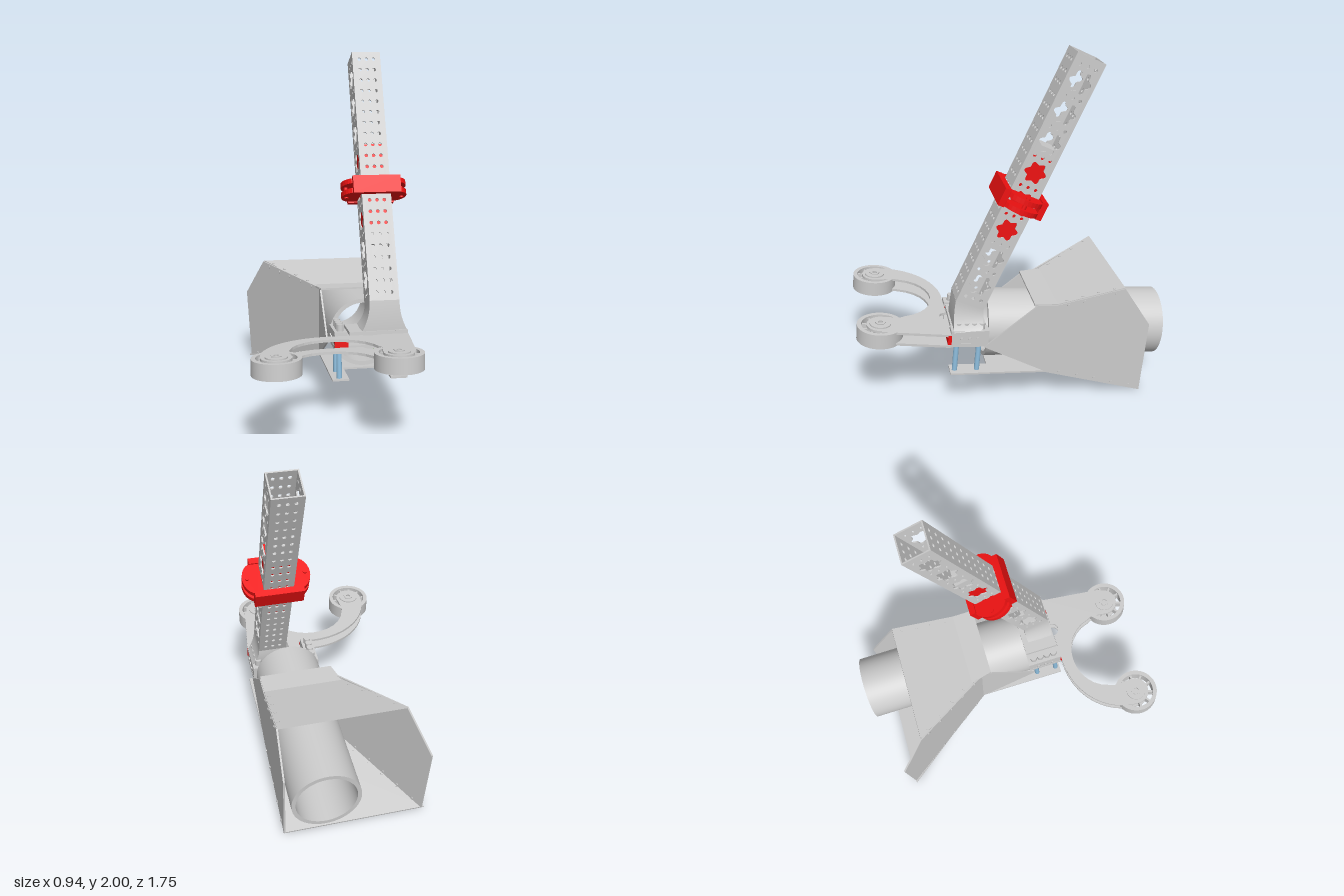
import * as THREE from 'three';
import { ConvexGeometry } from 'three/addons/geometries/ConvexGeometry.js';

const mat = (color) => new THREE.MeshStandardMaterial({ color, side: THREE.DoubleSide });
const grey = mat(0xcccccc), red = mat(0xee1111), blue = mat(0x8fbfdf), green = mat(0x4c9a2a);
const DECK = -0.094, LEAN = -0.447;

function add(parent, name, geo, material = grey, x = 0, y = 0, z = 0) {
  const m = new THREE.Mesh(geo, material);
  m.name = name;
  m.position.set(x, y, z);
  parent.add(m);
  return m;
}
function group(parent, name, x = 0, y = 0, z = 0, tilt = 0) {
  const g = new THREE.Group();
  g.name = name;
  g.position.set(x, y, z);
  g.rotation.x = tilt;
  parent.add(g);
  return g;
}
const box = (w, h, d) => new THREE.BoxGeometry(w, h, d);
const cyl = (r, h, n = 24) => new THREE.CylinderGeometry(r, r, h, n);
// Open pipe with a wall, along y
const ring = (ri, ro, h, n = 48) => new THREE.LatheGeometry(
  [[ri, -h / 2], [ro, -h / 2], [ro, -h / 2], [ro, h / 2], [ro, h / 2], [ri, h / 2], [ri, h / 2], [ri, -h / 2]]
    .map(([x, y]) => new THREE.Vector2(x, y)), n);
const extrude = (shape, depth) => new THREE.ExtrudeGeometry(shape, { depth, bevelEnabled: false, curveSegments: 12 });
// Plan shape (x, z) extruded in y, centred on y = 0
const slab = (shape, h) => extrude(shape, h).rotateX(Math.PI / 2).translate(0, h / 2, 0);

// Flat sheet through convex corner points, with rivets along the listed edges
function panel(parent, name, corners, riveted = [], t = 0.01) {
  const p = corners.map((c) => new THREE.Vector3(...c));
  const n = p[1].clone().sub(p[0]).cross(p[2].clone().sub(p[0])).normalize();
  const off = n.clone().multiplyScalar(t / 2);
  add(parent, name, new ConvexGeometry(p.flatMap((v) => [v.clone().add(off), v.clone().sub(off)])));
  const mid = p.reduce((a, v) => a.add(v), new THREE.Vector3()).divideScalar(p.length);
  for (const i of riveted) {
    const a = p[i], b = p[(i + 1) % p.length];
    const count = Math.max(2, Math.round(a.distanceTo(b) / 0.11));
    for (let k = 0; k < count; k++) {
      const q = a.clone().lerp(b, (k + 0.5) / count);
      q.add(mid.clone().sub(q).setLength(0.02));
      const r = add(parent, 'rivet', cyl(0.009, t + 0.008, 10), grey, q.x, q.y, q.z);
      r.quaternion.setFromUnitVectors(new THREE.Vector3(0, 1, 0), n);
    }
  }
}

function hole(shape, x, y, r, lobes = 0) {
  const n = lobes ? 48 : 8, pts = [];
  for (let i = 0; i < n; i++) {
    const a = -i / n * Math.PI * 2, rr = r + (lobes ? 0.009 * Math.cos(lobes * a) : 0);
    pts.push(new THREE.Vector2(x + rr * Math.cos(a), y + rr * Math.sin(a)));
  }
  shape.holes.push(new THREE.Path(pts));
}
function rect(w, h) {
  return new THREE.Shape([[-w, 0], [w, 0], [w, h], [-w, h]].map(([x, y]) => new THREE.Vector2(x, y)));
}

function buildTower(root) {
  const g = group(root, 'tower', 0.282, 0.635, 0.255, LEAN);
  const L = 1.473, W = 0.083, T = 0.008, C = 0.655;
  // Front and back walls: three columns of small holes
  const face = rect(W, L);
  for (let i = 0; i < 22; i++) for (const x of [-0.042, 0, 0.042]) hole(face, x, 0.046 + i * 0.0657, 0.011);
  add(g, 'towerFront', extrude(face, T), grey, 0, 0, W - T);
  add(g, 'towerBack', extrude(face, T), grey, 0, 0, -W);
  // Side walls: lobed openings with bolt holes between them
  const side = rect(W, L);
  for (let i = 0; i < 8; i++) hole(side, 0, 0.134 + i * 0.172, 0.054, 6);
  for (let i = 0; i <= 8; i++) for (const x of [-0.045, 0, 0.045]) hole(side, x, 0.048 + i * 0.172, 0.01);
  for (const x of [W - T, -W]) add(g, 'towerSide', extrude(side, T).rotateY(Math.PI / 2), grey, x);
  // Inner slider
  add(g, 'slider', box(0.145, 0.5, 0.145), red, 0, C, 0);
  for (const s of [-1, 1]) add(g, 'sliderCap', box(0.12, 0.06, 0.12), grey, 0, C + s * 0.28, 0);

  // Clamp: two rounded flanges joined by front and back walls
  const c = group(g, 'clamp', 0, C, 0);
  const f = new THREE.Shape();
  f.moveTo(-0.12, -0.1);
  f.lineTo(0.12, -0.1);
  f.bezierCurveTo(0.21, -0.08, 0.21, 0.08, 0.12, 0.1);
  f.lineTo(-0.12, 0.1);
  f.bezierCurveTo(-0.21, 0.08, -0.21, -0.08, -0.12, -0.1);
  f.holes.push(new THREE.Path([[-W, -W], [-W, W], [W, W], [W, -W]].map(([x, y]) => new THREE.Vector2(x, y))));
  for (const s of [-1, 1]) {
    add(c, 'clampFlange', slab(f, 0.028), red, 0, s * 0.028, 0);
    add(c, 'clampWall', box(0.27, 0.1, 0.036), red, 0, 0, s * 0.108);
    add(c, 'clampPin', cyl(0.012, 0.1, 12), red, s * 0.16, 0, 0);
  }
}

// Flared neck between deck and tower: a box morphed along its height
function buildNeck(root) {
  const geo = new THREE.BoxGeometry(1, 1, 1, 1, 10, 1), p = geo.attributes.position;
  for (let i = 0; i < p.count; i++) {
    const t = p.getY(i) + 0.5, k = (1 - t) ** 2.2, a = LEAN * t;
    const dz = p.getZ(i) * 2 * (0.083 - 0.005 * k);
    p.setXYZ(i, 0.282 + p.getX(i) * 2 * (0.083 + 0.045 * k),
      0.5 + 0.137 * t - Math.sin(a) * dz, 0.27 - 0.015 * t + Math.cos(a) * dz);
  }
  geo.computeVertexNormals();
  add(root, 'towerNeck', geo);
}

function buildDeck(root) {
  const g = group(root, 'deck', 0, 0.413, 0, DECK);
  // Mount tray under the tower
  add(g, 'trayFloor', box(0.41, 0.02, 0.21), grey, 0.205, -0.023, 0.265);
  add(g, 'trayTop', box(0.30, 0.02, 0.2), grey, 0.235, 0.05, 0.265);
  for (const x of [0.037, 0.373]) {
    add(g, 'trayRail', box(0.07, 0.09, 0.21), grey, x, 0.018, 0.265);
    for (let i = 0; i < 4; i++) {
      add(g, 'trayBolt', cyl(0.02, 0.04, 16), grey, x, 0.08, 0.2 + i * 0.043);
      if (i < 3) {
        const b = add(g, 'sideBolt', cyl(0.01, 0.01, 12), grey, x < 0.2 ? 0 : 0.41, 0.015, 0.22 + i * 0.045);
        b.rotation.z = Math.PI / 2;
      }
    }
    for (const z of [0.225, 0.35]) add(g, 'post', cyl(0.015, 0.2, 16), blue, x - 0.007, -0.115, z - 0.02);
    add(g, 'stopBlock', box(0.075, 0.055, 0.02), red, x, 0.01, 0.375);
  }
  // Forked arm, two matching plates
  const s = new THREE.Shape();
  s.moveTo(0, 0.37);
  s.lineTo(0.157, 0.37);
  s.absarc(0.197, 0.37, 0.04, Math.PI, 0, true);
  s.lineTo(0.41, 0.37);
  s.lineTo(0.365, 0.74);
  s.absarc(0.275, 0.74, 0.08, 0, Math.PI, false);
  s.bezierCurveTo(0.205, 0.66, 0.215, 0.63, 0.195, 0.61);
  s.bezierCurveTo(0.14, 0.38, -0.21, 0.38, -0.265, 0.61);
  s.bezierCurveTo(-0.28, 0.64, -0.27, 0.68, -0.265, 0.74);
  s.absarc(-0.345, 0.74, 0.08, 0, Math.PI, false);
  s.bezierCurveTo(-0.43, 0.55, -0.26, 0.36, 0, 0.37);
  for (const y of [0.036, -0.03]) add(g, 'armPlate', slab(s, 0.014), grey, 0, y, 0);
  // Spoked wheels at the arm tips
  for (const x of [-0.345, 0.275]) {
    const w = group(g, 'wheel', x, 0, 0.745);
    add(w, 'wheelRim', ring(0.104, 0.128, 0.085), grey);
    add(w, 'wheelHub', ring(0.026, 0.058, 0.1), grey);
    add(w, 'wheelAxle', ring(0.015, 0.03, 0.11, 6), grey);
    for (let i = 0; i < 10; i++) {
      const a = i / 10 * Math.PI * 2;
      const k = add(w, 'wheelSpoke', box(0.055, 0.06, 0.012), grey, 0.08 * Math.cos(a), 0, -0.08 * Math.sin(a));
      k.rotation.y = a;
    }
  }
}

function buildFunnel(root) {
  const g = group(root, 'funnel');
  const R = 0.408, L = -0.012;
  // Right-hand flat side, outline in (z, y)
  const outline = [[0.185, 0.395], [-0.12, 0.624], [-0.23, 0.614], [-0.614, 0.677], [-0.767, 0.434], [-0.73, 0.005], [-0.175, 0.19]];
  // The outline dips slightly at its third corner, so split it there
  const at = (x, list) => list.map((i) => [x, outline[i][1], outline[i][0]]);
  panel(g, 'sideFront', at(R, [0, 1, 2, 6]));
  panel(g, 'sideRear', at(R, [2, 3, 4, 5, 6]), [0, 3]);
  // Opposite side: short flat front, then a splayed rear wall
  panel(g, 'innerSideFront', [[L, 0.395, 0.185], [L, 0.624, -0.12], [L, 0.62, -0.16], [L, 0.19, -0.175]]);
  panel(g, 'splayedSide', [[L, 0.618, -0.16], [-0.315, 0.677, -0.614], [-0.418, 0.434, -0.767], [-0.395, 0.005, -0.733], [L, 0.19, -0.16]], [0, 3]);
  // Roof and floor
  panel(g, 'roofFront', [[L, 0.624, -0.1], [R, 0.624, -0.1], [R, 0.614, -0.23], [-0.045, 0.614, -0.23]]);
  panel(g, 'roofRear', [[-0.055, 0.614, -0.23], [R, 0.614, -0.23], [R, 0.677, -0.614], [-0.31, 0.677, -0.614]], [1, 3]);
  panel(g, 'floorRear', [[L, 0.19, -0.17], [R, 0.19, -0.175], [R, 0.005, -0.73], [-0.41, 0.005, -0.73]], [1, 3]);
  panel(g, 'floorFront', [[L, 0.222, 0.16], [R, 0.222, 0.16], [R, 0.193, -0.175], [L, 0.193, -0.175]]);
  for (const x of [0.035, 0.362]) {
    panel(g, 'floorTab', [[x - 0.047, 0.24, 0.375], [x + 0.047, 0.24, 0.375], [x + 0.047, 0.222, 0.16], [x - 0.047, 0.222, 0.16]]);
  }
}

function buildDuct(root) {
  const g = group(root, 'duct', 0.197, 0.389, -0.35, DECK);
  add(g, 'ductPipe', ring(0.17, 0.193, 1.022, 64).rotateX(Math.PI / 2));
  // Rollers inside the mouth
  for (const x of [-0.068, 0.068]) {
    add(g, 'roller', cyl(0.066, 0.045, 32), green, x, -0.1, 0.38);
    add(g, 'rollerShaft', cyl(0.014, 0.1, 16), grey, x, -0.06, 0.38);
  }
  add(g, 'rollerPlate', box(0.3, 0.02, 0.14), grey, 0, -0.045, 0.38);
}

export function createModel() {
  const root = new THREE.Group();
  root.name = 'intakeMachine';
  buildFunnel(root);
  buildDuct(root);
  buildDeck(root);
  buildNeck(root);
  buildTower(root);
  return root;
}
